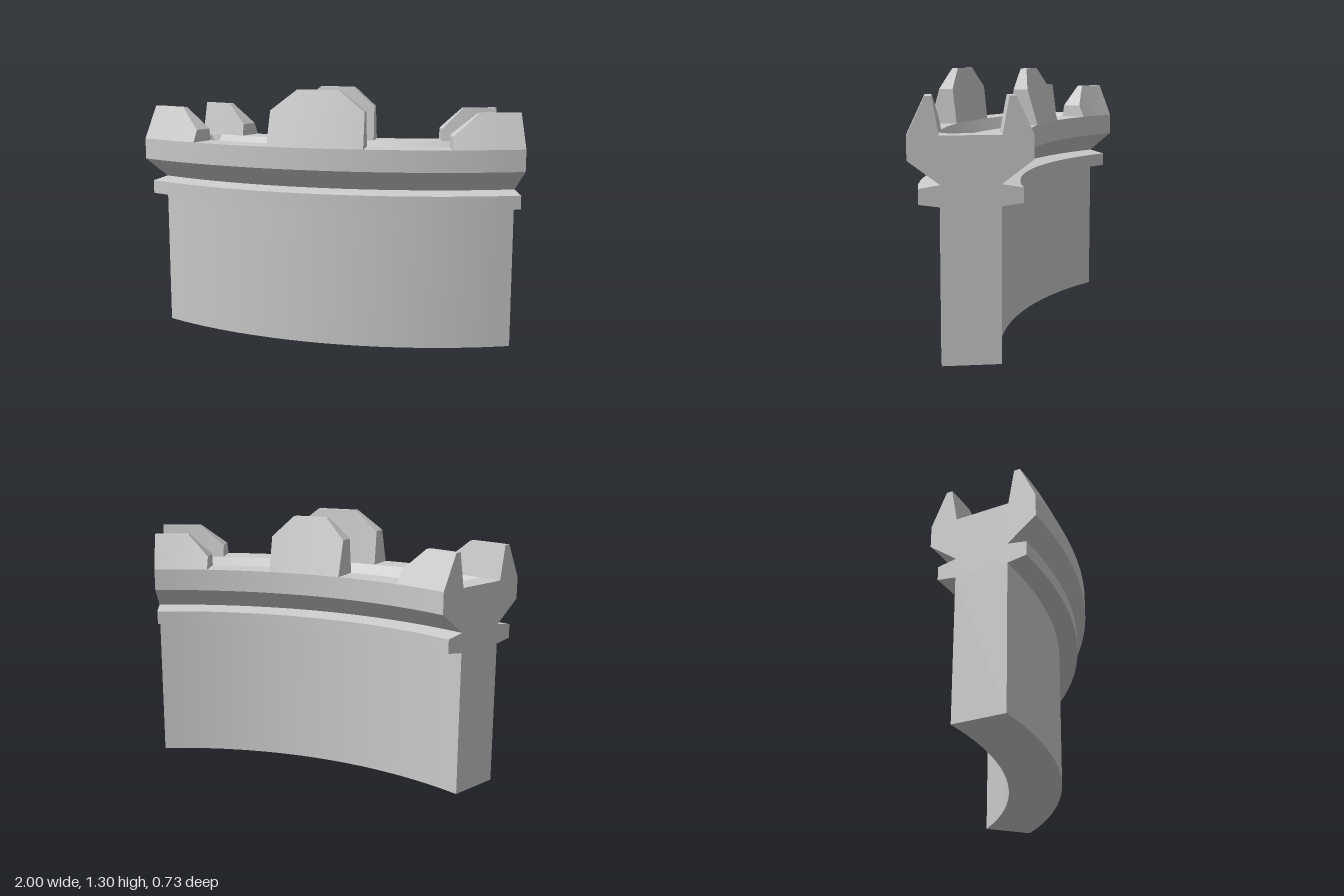
import * as THREE from 'three';
import { toCreasedNormals } from 'three/addons/utils/BufferGeometryUtils.js';

const MID = 2.088;       // radius of the wall's centre line
const CENTRE_Z = -2.006; // axis the wall curves around
const DECK = 1.028;      // height of the flat top
const material = new THREE.MeshStandardMaterial({ color: 0xcccccc });

// Place a profile point [offset from centre line, height] at an angle in degrees.
function place([offset, y], angle) {
  const a = THREE.MathUtils.degToRad(angle), r = MID + offset;
  return [r * Math.sin(a), y, r * Math.cos(a) + CENTRE_Z];
}

// Sweep a closed counter-clockwise profile, which may vary with angle, and cap both ends.
function sweep(name, angles, profileAt) {
  const pos = [];
  const rings = angles.map((a) => profileAt(a).map((p) => place(p, a)));
  const n = rings[0].length;
  for (let k = 0; k < rings.length - 1; k++) {
    const A = rings[k], B = rings[k + 1];
    for (let i = 0; i < n; i++) {
      const j = (i + 1) % n;
      pos.push(...A[i], ...B[i], ...B[j], ...A[i], ...B[j], ...A[j]);
    }
  }
  const cap = (index, flip) => {
    const contour = profileAt(angles[index]).map((p) => new THREE.Vector2(...p));
    for (const [a, b, c] of THREE.ShapeUtils.triangulateShape(contour, [])) {
      for (const v of flip ? [a, c, b] : [a, b, c]) pos.push(...rings[index][v]);
    }
  };
  cap(0, false);
  cap(angles.length - 1, true);
  const geo = new THREE.BufferGeometry();
  geo.setAttribute('position', new THREE.Float32BufferAttribute(pos, 3));
  const mesh = new THREE.Mesh(toCreasedNormals(geo, 0.3), material);
  mesh.name = name;
  return mesh;
}

// Evenly spaced angles from a to b.
const span = (a, b, n) => Array.from({ length: n + 1 }, (_, i) => a + ((b - a) * i) / n);

// Wall section: shaft, thin ledge, flared parapet, and a shallow walkway that stops short of the ends.
function wallProfile(angle) {
  const floor = Math.abs(angle) < 21 ? DECK - 0.06 : DECK;
  const half = [
    [0.135, 0], [0.135, 0.715], [0.231, 0.728], [0.231, 0.797], [0.135, 0.813],
    [0.278, 0.92], [0.278, DECK], [0.138, DECK], [0.1, floor],
  ];
  return [...half, ...half.map(([o, y]) => [-o, y]).reverse()];
}

// Merlon: leaning outer face, steep inner face; 'heights' is a list of [angle, top height].
function merlon(name, side, peak, heights) {
  const profileAt = (angle) => {
    let i = 0;
    while (i < heights.length - 2 && angle > heights[i + 1][0]) i++;
    const [a0, h0] = heights[i], [a1, h1] = heights[i + 1];
    const top = THREE.MathUtils.mapLinear(angle, a0, a1, h0, h1);
    const t = (top - DECK) / (peak - DECK);
    const p = [[0.138, DECK], [0.278, DECK], [0.278 - 0.08 * t, top], [0.138 + 0.03 * t, top]];
    return side > 0 ? p : p.map(([o, y]) => [-o, y]).reverse();
  };
  const angles = [heights[0][0]];
  for (let i = 1; i < heights.length; i++) {
    angles.push(...span(heights[i - 1][0], heights[i][0], 2).slice(1));
  }
  return sweep(name, angles, profileAt);
}

export function createModel() {
  const group = new THREE.Group();
  group.name = 'curvedBattlementWall';
  group.add(sweep('wall', [-25, -22, ...span(-20.8, 20.8, 16), 22, 25], wallProfile));

  for (const [label, side] of [['front', 1], ['back', -1]]) {
    // Tall centre merlon with both upper corners cut
    group.add(merlon(label + 'CentreMerlon', side, 1.305,
      [[-5.95, 1.203], [-2.7, 1.305], [2.7, 1.305], [5.95, 1.203]]));
    // Lower end merlons, cut only on the inner corner
    const end = [[16.4, 1.09], [19.75, 1.198], [25, 1.198]];
    group.add(merlon(label + 'LeftMerlon', side, 1.198, end));
    group.add(merlon(label + 'RightMerlon', side, 1.198, end.map(([a, h]) => [-a, h]).reverse()));
  }
  return group;
}
